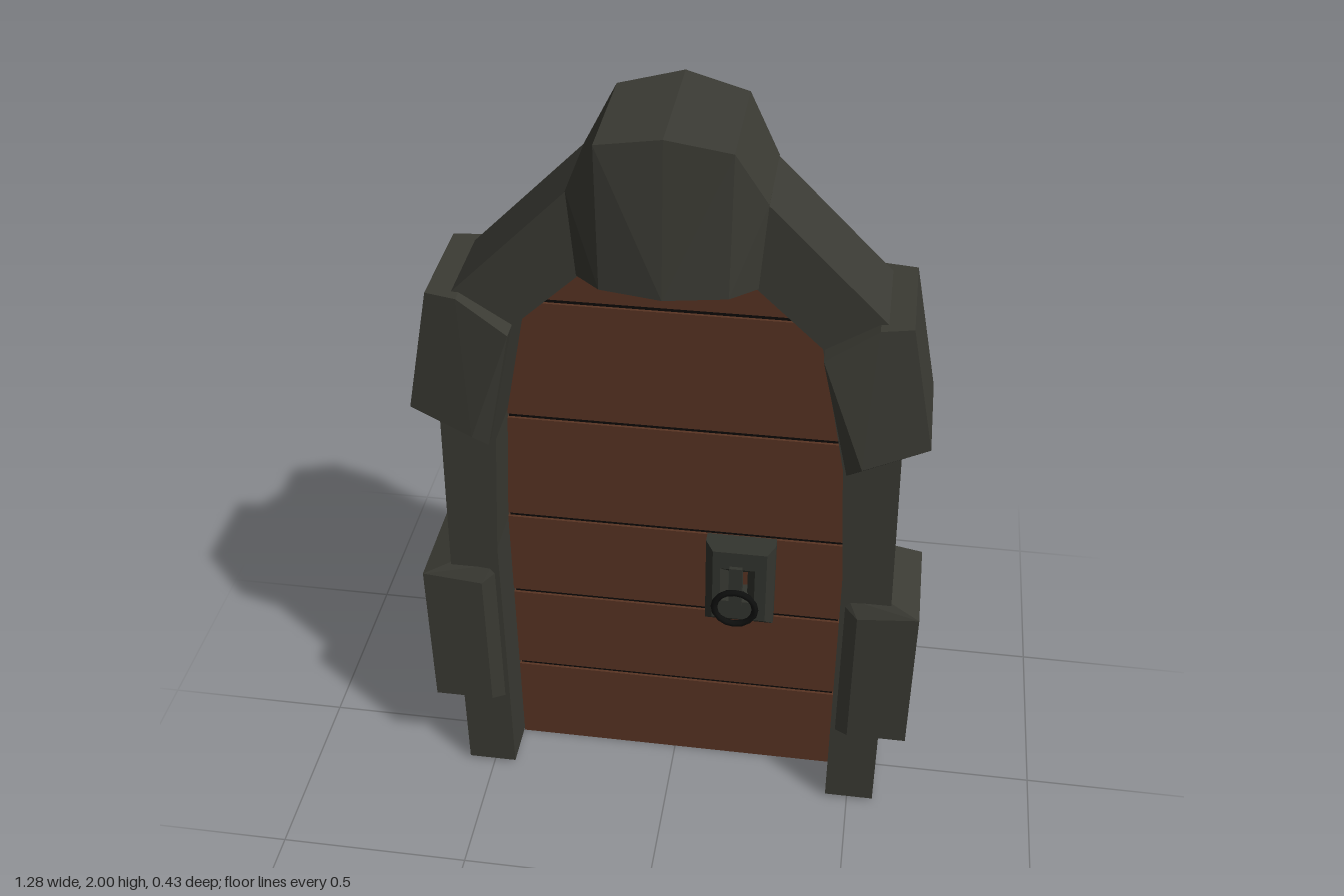
import * as THREE from 'three';
import { ConvexGeometry } from 'three/addons/geometries/ConvexGeometry.js';

const mat = (name, color) => {
  const m = new THREE.MeshStandardMaterial({ color });
  m.name = name;
  return m;
};

export function createModel() {
  const stone = mat('stone', 0x3b3b34);
  const wood = mat('wood', 0x593423);
  const groove = mat('dark groove', 0x0d0a08);
  const iron = mat('iron', 0x33352f);
  const ringIron = mat('black iron', 0x0e0f0e);

  const model = new THREE.Group();
  model.name = 'archedDoor';
  const add = (name, geometry, material, parent = model) => {
    const mesh = new THREE.Mesh(geometry, material);
    mesh.name = name;
    parent.add(mesh);
    return mesh;
  };

  const V2 = (p) => new THREE.Vector2(p[0], p[1]);
  const flip = (pts) => pts.map(([x, ...rest]) => [-x, ...rest]);
  // flat slab from an outline, between two depths
  const slab = (pts, z0, z1) =>
    new THREE.ExtrudeGeometry(new THREE.Shape(pts.map(V2)), { depth: z1 - z0, bevelEnabled: false }).translate(0, 0, z0);
  // closed symmetric outline from its right half, listed from bottom to top
  const symmetric = (half) => [...half, ...flip(half).reverse()];
  // chiselled stone as the hull of a few corners
  const hull = (pts) => new ConvexGeometry(pts.map((p) => new THREE.Vector3(...p)));

  // Stone jambs and arch as one ring open at the floor
  const outer = [[0.57, 0.01], [0.568, 0.7], [0.555, 1.2], [0.5, 1.56], [0.22, 1.84]];
  const inner = [[0.44, 0.01], [0.44, 0.8], [0.42, 1.15], [0.355, 1.485], [0.2, 1.63]];
  add('archFrame', slab([...symmetric(outer), ...flip(inner), ...inner.slice().reverse()], -0.095, 0.138), stone);

  // Lower blocks: bevelled toward the doorway and at the top
  const lowerBlock = [];
  for (const [face, edge] of [[0.155, 0.134], [-0.115, -0.092]]) {
    lowerBlock.push(
      [0.64, 0.27, face], [0.485, 0.27, face], [0.445, 0.27, edge],
      [0.64, 0.705, face], [0.485, 0.69, face], [0.445, 0.72, edge],
      [0.565, 0.738, edge], [0.46, 0.738, edge]);
  }

  // Upper blocks: tilted with the arch, thicker toward the doorway
  const upperBlock = [];
  for (const [thick, mid, thin] of [[0.187, 0.168, 0.155], [-0.153, -0.13, -0.115]]) {
    upperBlock.push(
      [0.555, 1.565, thin], [0.48, 1.562, mid], [0.36, 1.485, thick],
      [0.62, 1.24, thin], [0.465, 1.188, thick], [0.43, 1.155, mid]);
  }
  for (const [side, pick] of [['left', (p) => p], ['right', flip]]) {
    add(side + 'LowerBlock', hull(pick(lowerBlock)), stone);
    add(side + 'UpperBlock', hull(pick(upperBlock)), stone);
  }

  // Keystone
  const keyHalf = [
    [0.15, 1.975, 0.18], [0.15, 1.975, -0.125],
    [0.222, 1.84, 0.138], [0.222, 1.84, -0.098],
    [0.145, 1.63, 0.19], [0.205, 1.63, 0.138], [0.205, 1.63, -0.098]];
  add('keystone', hull([
    ...keyHalf, ...flip(keyHalf),
    [0, 2, 0.185], [0, 2, -0.162], [0, 1.63, 0.217], [0, 1.67, -0.217]]), stone);

  // Door: planks cut from one arched outline, with a dark core in the gaps
  const profile = [[0.44, 0], [0.44, 0.8], [0.422, 1.14], [0.358, 1.475], [0.235, 1.597], [0.18, 1.64]];
  const halfWidth = (y) => {
    const i = Math.max(1, profile.findIndex((p) => p[1] >= y));
    const [x0, y0] = profile[i - 1], [x1, y1] = profile[i];
    return x0 + ((x1 - x0) * (y - y0)) / (y1 - y0);
  };
  const door = new THREE.Group();
  door.name = 'door';
  model.add(door);
  const cuts = [0, 0.275, 0.545, 0.81, 1.13, 1.473, 1.64];
  const gap = 0.006;
  for (let i = 0; i < cuts.length - 1; i++) {
    const y0 = cuts[i] + (i ? gap : 0);
    const y1 = cuts[i + 1] - (i < cuts.length - 2 ? gap : 0);
    const between = profile.filter((p) => p[1] > y0 && p[1] < y1);
    const half = [[halfWidth(y0), y0], ...between, [halfWidth(y1), y1]];
    add('plank' + (i + 1), slab(symmetric(half), -0.09, 0.01), wood, door);
  }
  const core = profile.map(([x, y]) => [x - 0.004, Math.min(1.63, y + 0.01)]);
  add('grooveCore', slab(symmetric(core), -0.083, 0.003), groove, door);

  // Handle: bevelled iron plate with an opening, a hanger bar and a ring
  const handle = new THREE.Group();
  handle.name = 'handle';
  model.add(handle);
  const rect = (C, x0, x1, y0, y1) => new C([[x0, y0], [x1, y0], [x1, y1], [x0, y1]].map(V2));
  const plate = rect(THREE.Shape, 0.105, 0.245, 0.565, 0.79);
  plate.holes.push(rect(THREE.Path, 0.095 + 0.03, 0.215, 0.625, 0.735));
  add('handlePlate', new THREE.ExtrudeGeometry(plate, {
    depth: 0.03, bevelEnabled: true, bevelSegments: 1, bevelSize: 0.02, bevelOffset: 0, bevelThickness: 0.018,
  }).translate(0, 0, 0.012), iron, handle);
  add('hangerBar', new THREE.BoxGeometry(0.034, 0.125, 0.03).translate(0.166, 0.682, 0.055), iron, handle);
  add('pullRing', new THREE.TorusGeometry(0.054, 0.009, 6, 16).translate(0.166, 0.615, 0.075), ringIron, handle);

  return model;
}
